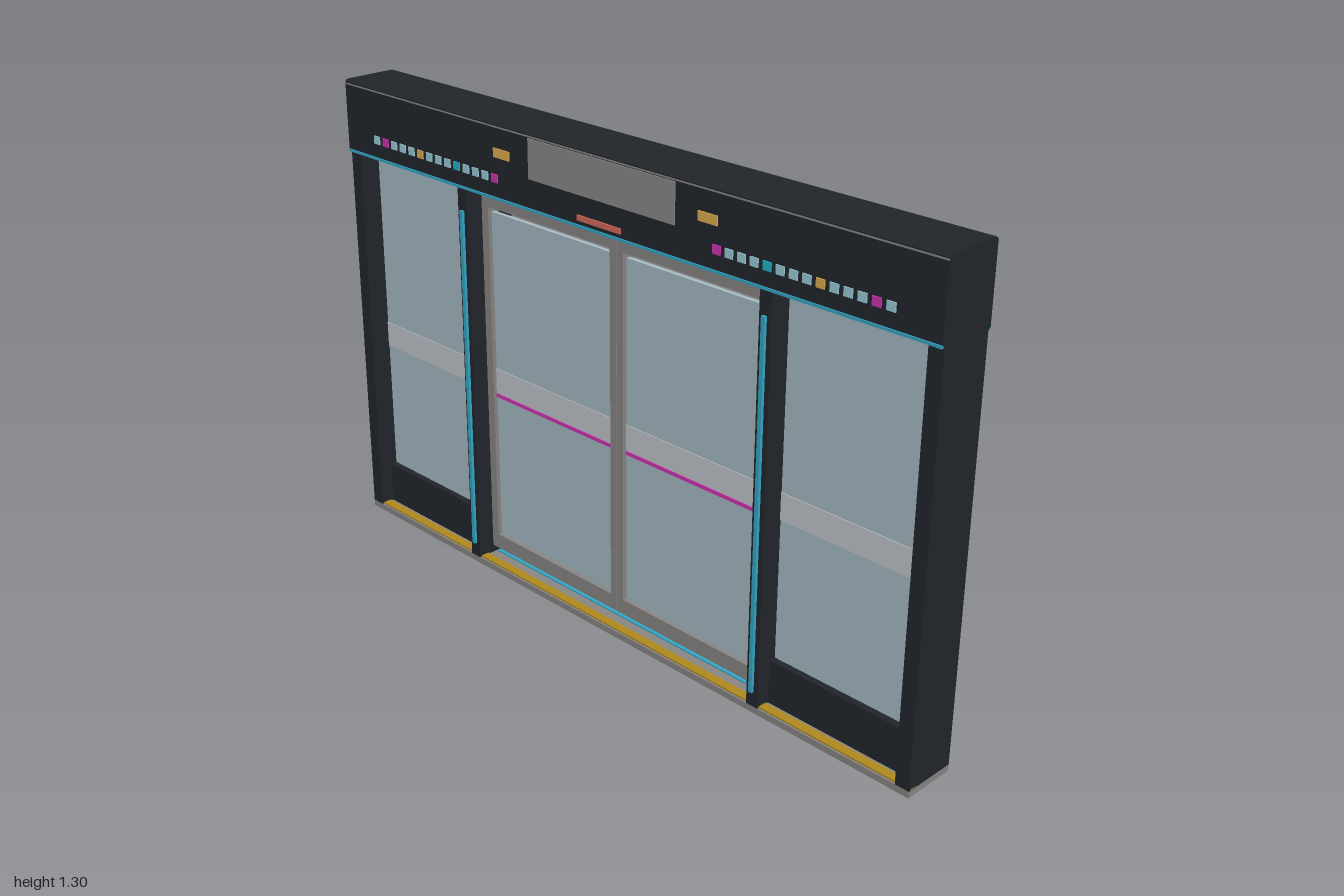
import * as THREE from 'three';

const paint = (color) => new THREE.MeshStandardMaterial({ color });

export function createModel() {
  const model = new THREE.Group();
  const mat = {
    dark: paint(0x22262b), metal: paint(0x8a8886), glass: paint(0xa9bec6), band: paint(0xc4c8cd),
    cyan: paint(0x35a9c8), magenta: paint(0xd633b5), yellow: paint(0xb08a1e), amber: paint(0xe0b050),
    coral: paint(0xd9695f), pale: paint(0x9ccfdc), teal: paint(0x22b5cc), screen: paint(0x8c8c8c),
  };

  // Box given by its limits on each axis
  function box(name, material, [x0, x1], [y0, y1], [z0, z1], parent = model) {
    const mesh = new THREE.Mesh(new THREE.BoxGeometry(Math.abs(x1 - x0), y1 - y0, z1 - z0), material);
    mesh.position.set((x0 + x1) / 2, (y0 + y1) / 2, (z0 + z1) / 2);
    mesh.name = name;
    parent.add(mesh);
  }

  // Threshold with a safety strip and door track
  box('threshold', mat.metal, [-1, 1], [0, 0.018], [-0.075, 0.075]);
  box('safetyStrip', mat.yellow, [-1, 1], [0.018, 0.022], [0.045, 0.07]);
  box('doorTrack', mat.cyan, [-0.5, 0.5], [0.018, 0.022], [-0.005, 0.015]);

  // Header with chamfered long edges
  const c = 0.006, d = 0.082, y0 = 1.097, y1 = 1.3;
  const profile = new THREE.Shape([
    [-d + c, y0], [d - c, y0], [d, y0 + c], [d, y1 - c],
    [d - c, y1], [-d + c, y1], [-d, y1 - c], [-d, y0 + c],
  ].map(([z, y]) => new THREE.Vector2(z, y)));
  const headerGeometry = new THREE.ExtrudeGeometry(profile, { depth: 2, bevelEnabled: false });
  headerGeometry.translate(0, 0, -1).rotateY(Math.PI / 2);
  const header = new THREE.Mesh(headerGeometry, mat.dark);
  header.name = 'header';
  model.add(header);
  for (const s of [-1, 1]) {
    const z = s > 0 ? [0.08, 0.085] : [-0.085, -0.08];
    box('headerLight', mat.cyan, [-1, 1], [1.1, 1.107], z);
    box('headerTrim', mat.metal, [-1, 1], [1.287, 1.291], s > 0 ? [0.08, 0.083] : [-0.083, -0.08]);
  }
  box('displayScreen', mat.screen, [-0.25, 0.25], [1.182, 1.285], [0.08, 0.085]);
  box('statusBar', mat.coral, [-0.075, 0.075], [1.118, 1.132], [0.08, 0.086]);

  const indicatorColors = { 1: mat.magenta, 5: mat.amber, 9: mat.teal, 13: mat.magenta };
  for (const s of [-1, 1]) {
    const side = new THREE.Group();
    side.name = s > 0 ? 'leftSide' : 'rightSide';
    model.add(side);
    const part = (name, material, [a, b], y, z) => box(name, material, [s * a, s * b], y, z, side);

    // Header plate and row of route indicators
    part('signPlate', mat.amber, [0.322, 0.382], [1.211, 1.235], [0.08, 0.085]);
    for (let i = 0; i < 14; i++) {
      const x = 0.868 - i * 0.0375;
      part('indicator', indicatorColors[i] || mat.pale, [x - 0.012, x + 0.012], [1.145, 1.167], [0.08, 0.085]);
    }

    // Posts and light strip
    part('outerPost', mat.dark, [0.96, 1], [0.018, 1.1], [-0.075, 0.075]);
    part('innerPost', mat.dark, [0.505, 0.541], [0.018, 1.1], [-0.075, 0.075]);
    part('postLight', mat.cyan, [0.517, 0.528], [0.06, 1.037], [0.074, 0.083]);

    // Fixed side panel
    part('panelTopRail', mat.dark, [0.54, 0.96], [1.08, 1.1], [-0.02, 0.035]);
    part('kickPanel', mat.dark, [0.54, 0.96], [0.018, 0.138], [-0.02, 0.035]);
    part('panelGlass', mat.glass, [0.54, 0.96], [0.138, 1.08], [0, 0.016]);
    part('panelBand', mat.band, [0.54, 0.96], [0.515, 0.587], [-0.002, 0.018]);

    // Sliding door leaf
    const z = [-0.01, 0.026];
    part('outerStile', mat.metal, [0.48, 0.505], [0.04, 1.08], z);
    part('meetingStile', mat.metal, [0.001, 0.023], [0.04, 1.08], z);
    part('topRail', mat.metal, [0.023, 0.48], [1.046, 1.08], z);
    part('bottomRail', mat.metal, [0.023, 0.48], [0.04, 0.083], z);
    part('doorGlass', mat.glass, [0.023, 0.48], [0.083, 1.03], [0.002, 0.014]);
    part('doorBand', mat.band, [0.023, 0.48], [0.515, 0.587], [0, 0.016]);
    part('doorLine', mat.magenta, [0.023, 0.48], [0.505, 0.515], [-0.002, 0.018]);
  }
  return model;
}
